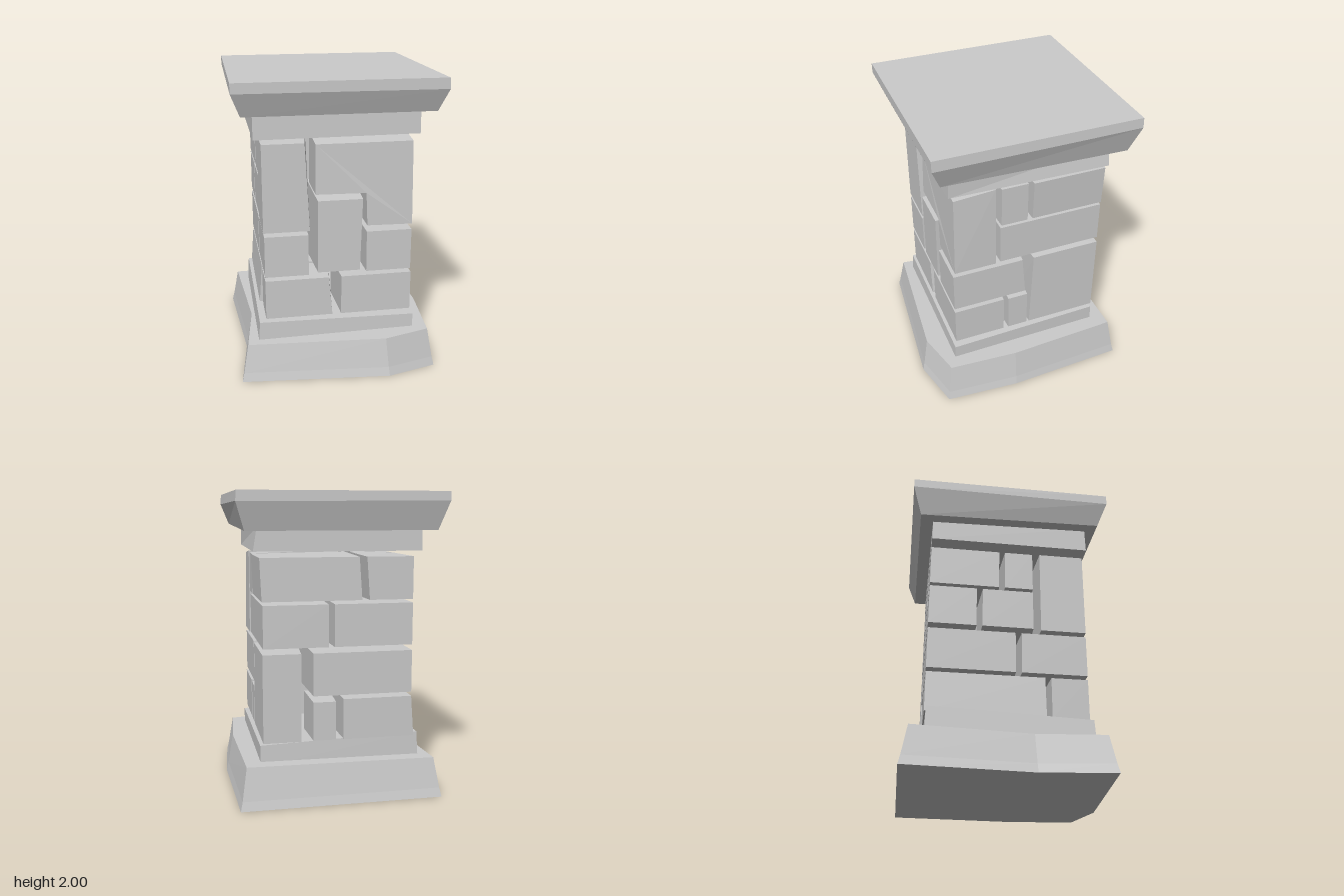
import * as THREE from 'three';

const material = new THREE.MeshStandardMaterial({ color: 0xcccccc, flatShading: true });

// Solid skinned over stacked rings of [x, y, z], each counter-clockwise seen from above
function loft(rings) {
  const n = rings[0].length, index = [];
  for (let r = 0; r < rings.length - 1; r++) {
    for (let i = 0; i < n; i++) {
      const a = r * n + i, b = r * n + (i + 1) % n;
      index.push(a, b, b + n, a, b + n, a + n);
    }
  }
  const capFaces = ring => THREE.ShapeUtils.triangulateShape(
    ring.map(([x, , z]) => new THREE.Vector2(x, -z)), []);
  const top = (rings.length - 1) * n;
  for (const [a, b, c] of capFaces(rings[0])) index.push(a, c, b);
  for (const [a, b, c] of capFaces(rings[rings.length - 1])) index.push(top + a, top + b, top + c);
  const g = new THREE.BufferGeometry();
  g.setAttribute('position', new THREE.Float32BufferAttribute(rings.flat(2), 3));
  g.setIndex(index);
  return finish(g);
}

function finish(geometry) {
  const g = geometry.toNonIndexed();
  g.computeVertexNormals();
  return g;
}

// Four-cornered ring; y lists front left, front right, back right, back left
const rect = (x0, x1, z0, z1, [a, b, c, d]) =>
  [[x0, a, z1], [x1, b, z1], [x1, c, z0], [x0, d, z0]];

// Box whose outward faces shrink slightly, with an optional extra move of its corners
function stone([x0, x1, y0, y1, z0, z1], tweak) {
  const g = new THREE.BoxGeometry(1, 1, 1), p = g.attributes.position;
  const inset = 0.01;
  for (let i = 0; i < p.count; i++) {
    const s = { x: Math.sign(p.getX(i)), y: Math.sign(p.getY(i)), z: Math.sign(p.getZ(i)) };
    const v = {
      x: s.x < 0 ? x0 : x1, y: s.y < 0 ? y0 : y1, z: s.z < 0 ? z0 : z1
    };
    const outX = Math.abs(v.x) > 0.45, outZ = Math.abs(v.z) > 0.45;
    if (outX || outZ) v.y -= s.y * inset * (s.y > 0 ? 1 : 0.3);
    if (outZ && !outX) v.x -= s.x * inset;
    if (outX && !outZ) v.z -= s.z * inset;
    if (tweak) tweak(v, s);
    p.setXYZ(i, v.x, v.y, v.z);
  }
  return finish(g);
}

// Each entry: name, [x0, x1, y0, y1, z0, z1], optional corner move
const stones = [
  // bottom course
  ['frontLeftLowStone', [-0.5, -0.04, 0.39, 0.675, 0.24, 0.49],
    (v, s) => { if (s.x > 0 && s.z > 0 && s.y > 0) v.x -= 0.025; }],
  ['frontRightLowStone', [0, 0.49, 0.39, 0.675, 0.125, 0.49]],
  ['rightLowFiller', [0.2, 0.49, 0.39, 0.67, -0.05, 0.11]],
  ['backRightTallStone', [0.2, 0.55, 0.39, 0.985, -0.555, -0.05],
    (v, s) => {
      if (s.x > 0) v.x = 0.49;
      if (s.x > 0 && s.z > 0 && s.y > 0) v.z -= 0.02;
      if (s.x < 0 && s.z < 0) v.x += 0.03;
    }],
  ['backLowFiller', [0, 0.17, 0.39, 0.66, -0.55, -0.25]],
  ['backLeftLowStone', [-0.5, -0.03, 0.39, 0.675, -0.555, 0.22],
    (v, s) => { if (s.x < 0 && s.y < 0) v.x -= 0.02; }],
  // second course
  ['frontLeftMidStone', [-0.5, -0.2, 0.69, 0.985, 0.05, 0.49]],
  ['frontRightMidStone', [0.17, 0.485, 0.69, 0.985, -0.045, 0.49],
    (v, s) => { if (s.x > 0 && s.z < 0) v.z += s.y > 0 ? 0.035 : 0.01; }],
  ['backLeftMidStone', [-0.5, 0.17, 0.69, 0.985, -0.555, 0.03]],
  ['frontCentreStone', [-0.16, 0.17, 0.69, 1.23, 0.06, 0.495],
    (v, s) => {
      if (s.z > 0) { v.x -= s.x > 0 ? (s.y > 0 ? 0.01 : 0.025) : -0.002; v.y -= s.y * 0.015; }
    }],
  // third course
  ['rightUpperStone', [0.05, 0.485, 1.01, 1.3, -0.555, 0.17]],
  ['backLeftUpperStone', [-0.5, 0.03, 1.01, 1.3, -0.555, -0.23]],
  ['leftUpperFiller', [-0.5, -0.2, 1.01, 1.3, -0.21, 0.15]],
  ['frontLeftTallStone', [-0.505, -0.185, 1, 1.6, 0.18, 0.49],
    (v, s) => { if (s.x > 0 && s.z > 0) v.x -= s.y > 0 ? 0.035 : 0.005; }],
  // top course
  ['rightTopFiller', [0.18, 0.49, 1.31, 1.6, -0.035, 0.165]],
  ['backRightTopStone', [-0.17, 0.49, 1.31, 1.6, -0.555, -0.05],
    (v, s) => {
      if (s.x > 0 && s.y > 0) v.x += 0.012;
      if (s.x < 0 && s.y > 0) v.x += 0.02;
    }],
  ['backLeftTopStone', [-0.5, -0.2, 1.31, 1.6, -0.555, -0.08],
    (v, s) => { if (s.x > 0 && s.y > 0) v.x += 0.02; }],
  ['leftTopFiller', [-0.5, -0.2, 1.31, 1.6, -0.06, 0.15]]
];

export function createModel() {
  const model = new THREE.Group();
  const add = (name, geometry) => {
    const mesh = new THREE.Mesh(geometry, material);
    mesh.name = name;
    model.add(mesh);
  };

  // Flared foot with bulging front and right sides and a dented left side
  const foot = [[-0.68, 0.61], [0.31, 0.7], [0.645, 0.61], [0.685, 0.11],
    [0.655, -0.695], [-0.68, -0.695], [-0.62, 0.13]];
  const footRing = (scale, height) =>
    foot.map(([x, z]) => [x * scale, height(x, z), z * scale]);
  add('foot', loft([
    footRing(1, () => 0),
    footRing(0.98, () => 0.06),
    footRing(0.93, (x, z) => 0.262 + 0.01 * x - 0.008 * z)
  ]));

  // Uneven plinth slab
  add('plinth', loft([
    rect(-0.555, 0.51, -0.55, 0.51, [0.24, 0.24, 0.24, 0.24]),
    rect(-0.545, 0.51, -0.545, 0.505, [0.375, 0.355, 0.38, 0.415])
  ]));

  for (const [name, box, tweak] of stones) add(name, stone(box, tweak));

  // Notched corner stone that steps around the front centre stone
  const notched = new THREE.Shape([[-0.16, 1.6], [-0.16, 1.245], [0.175, 1.24],
    [0.185, 1.015], [0.49, 1.01], [0.49, 1.6]].map(([x, y]) => new THREE.Vector2(x, y)));
  const corner = new THREE.ExtrudeGeometry(notched, { depth: 0.285, bevelEnabled: false });
  corner.translate(0, 0, 0.195);
  const p = corner.attributes.position;
  for (let i = 0; i < p.count; i++) {
    if (p.getZ(i) > 0.4 && p.getY(i) > 1.5) p.setXYZ(i, p.getX(i) * 0.985, 1.575, 0.47);
  }
  corner.computeVertexNormals();
  add('frontRightTallStone', corner);

  // Neck slab below the cap
  add('neck', loft([
    [[-0.555, 1.625, 0.51], [0.515, 1.63, 0.51], [0.54, 1.63, -0.555], [-0.555, 1.625, -0.555]],
    rect(-0.555, 0.515, -0.555, 0.505, [1.8, 1.8, 1.78, 1.78])
  ]));

  // Cap with sloping underside
  add('cap', loft([
    rect(-0.63, 0.6, -0.64, 0.58, [1.785, 1.785, 1.758, 1.758]),
    rect(-0.688, 0.655, -0.697, 0.64, [1.935, 1.93, 1.935, 1.94]),
    rect(-0.688, 0.65, -0.697, 0.64, [2, 2, 2, 2])
  ]));

  return model;
}
